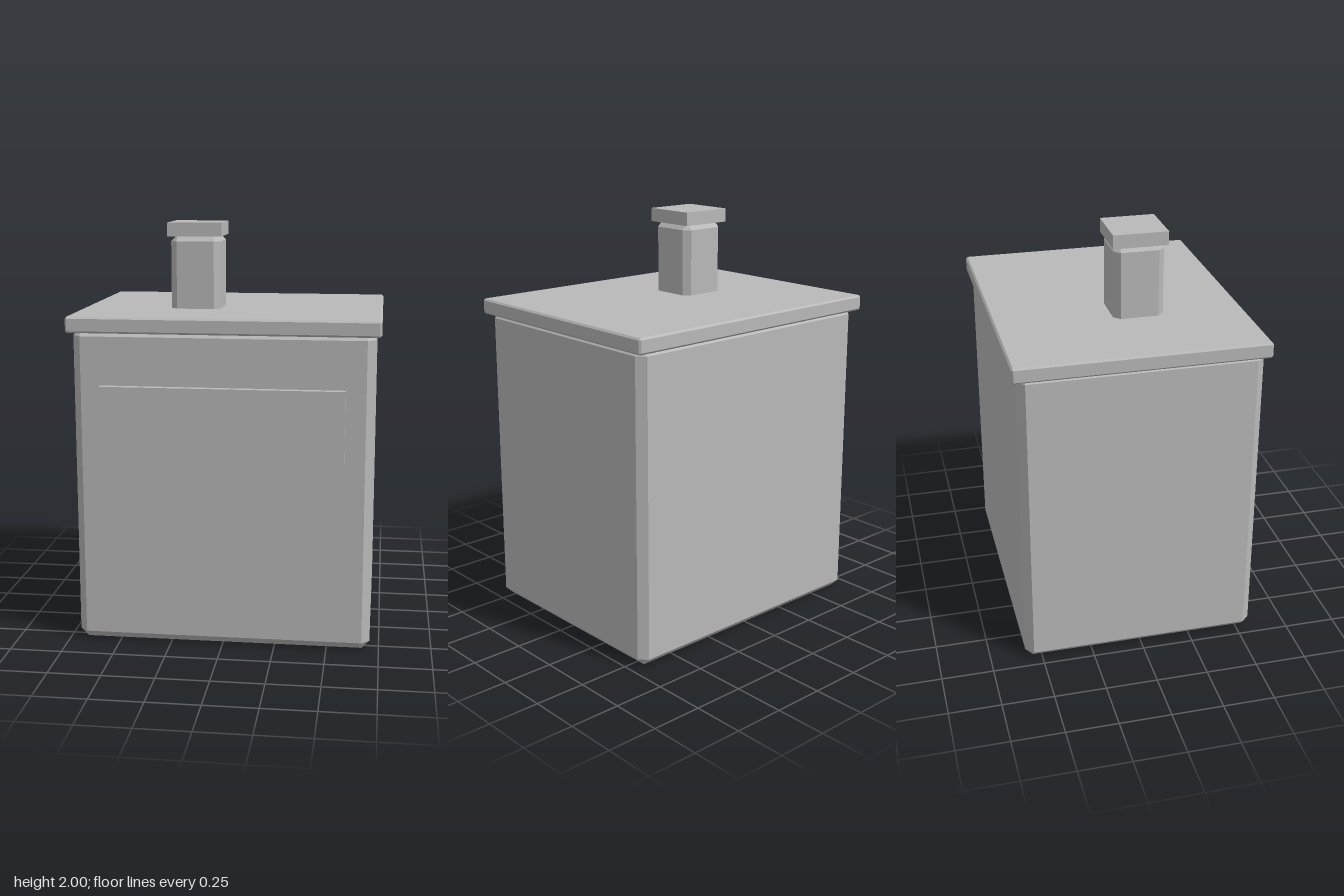
import * as THREE from 'three';
import { ConvexGeometry } from 'three/addons/geometries/ConvexGeometry.js';

// Box with every edge cut by a flat chamfer c
function chamferedBox(w, h, d, c) {
  const x = w / 2, y = h / 2, z = d / 2, points = [];
  for (const sx of [-1, 1]) for (const sy of [-1, 1]) for (const sz of [-1, 1]) {
    points.push(
      new THREE.Vector3(sx * x, sy * (y - c), sz * (z - c)),
      new THREE.Vector3(sx * (x - c), sy * y, sz * (z - c)),
      new THREE.Vector3(sx * (x - c), sy * (y - c), sz * z));
  }
  return new ConvexGeometry(points);
}

export function createModel() {
  const group = new THREE.Group();
  const grey = new THREE.MeshStandardMaterial({ color: 0xb9b9b9 });
  grey.name = 'plain grey';

  // Places a part by its bottom height and its centre in x and z
  function add(name, geometry, x, bottom, z, height) {
    const mesh = new THREE.Mesh(geometry, grey);
    mesh.name = name;
    mesh.position.set(x, bottom + height / 2, z);
    group.add(mesh);
  }

  // Main housing and its overhanging lid
  add('body', chamferedBox(1.412, 1.528, 1.15, 0.038), 0, 0, -0.005, 1.528);
  add('lid', chamferedBox(1.464, 0.076, 1.198, 0.009), 0, 1.507, -0.006, 0.076);

  // Raised panel on the front
  add('frontPanel', new THREE.BoxGeometry(1.148, 0.386, 0.038), 0, 0.874, 0.586, 0.386);

  // Chimney with a square cap
  add('chimney', chamferedBox(0.244, 0.4, 0.244, 0.031), -0.178, 1.54, 0.08, 0.4);
  add('chimneyCap', new THREE.BoxGeometry(0.264, 0.066, 0.264), -0.18, 1.934, 0.08, 0.066);

  return group;
}
